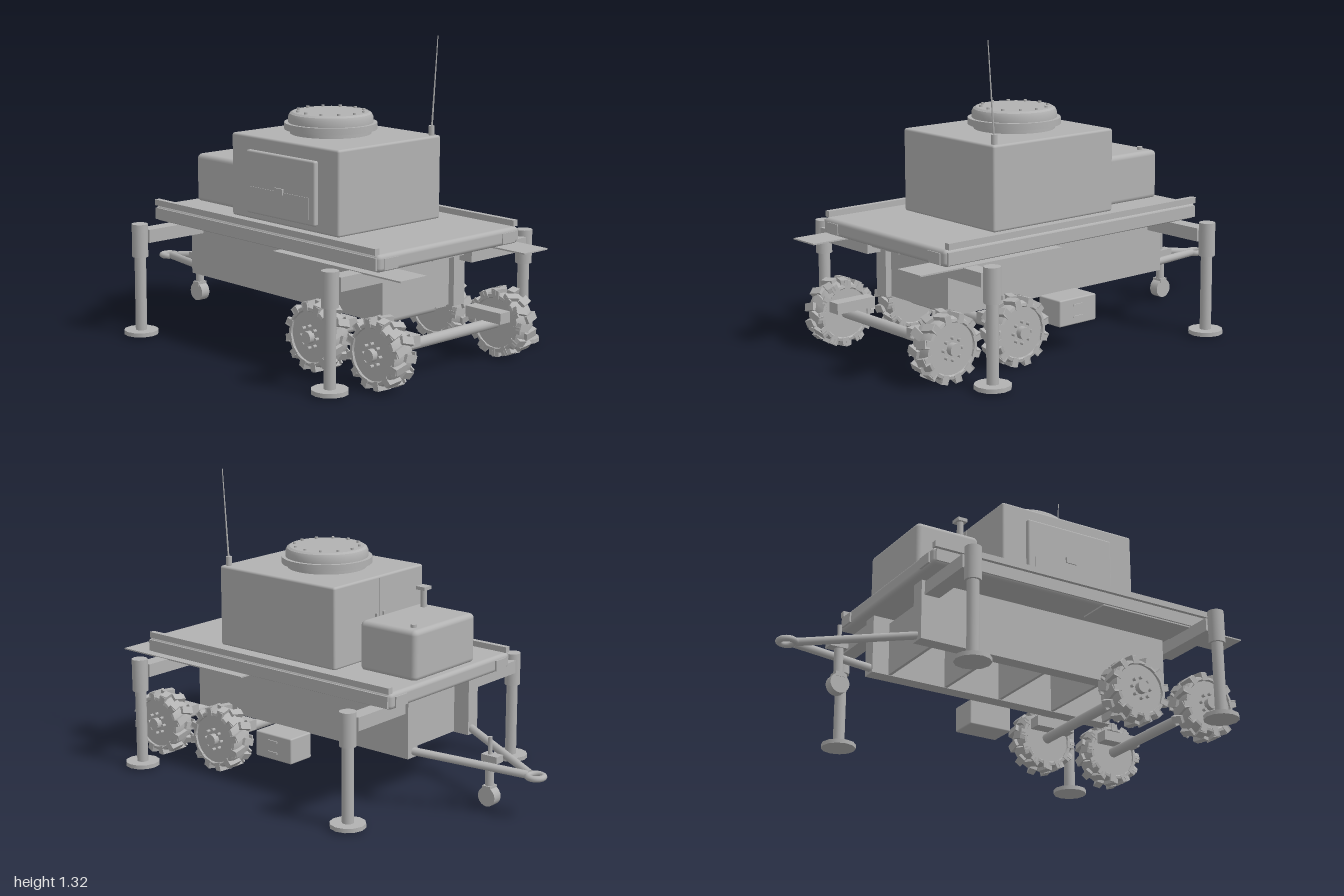
import * as THREE from 'three';
import { RoundedBoxGeometry } from 'three/addons/geometries/RoundedBoxGeometry.js';
import { toCreasedNormals } from 'three/addons/utils/BufferGeometryUtils.js';

const grey = new THREE.MeshStandardMaterial({ color: 0xb2b2b2 });
grey.name = 'plain grey';

export function createModel() {
  const model = new THREE.Group();
  model.name = 'equipmentTrailer';

  const add = (name, geo, x = 0, y = 0, z = 0, parent = model) => {
    const m = new THREE.Mesh(geo, grey);
    m.name = name;
    m.position.set(x, y, z);
    parent.add(m);
    return m;
  };
  // Box given by its min and max on each axis
  const box = (name, x0, x1, y0, y1, z0, z1, r = 0, parent = model) => {
    const s = [x1 - x0, y1 - y0, z1 - z0];
    const geo = r ? new RoundedBoxGeometry(...s, 3, r) : new THREE.BoxGeometry(...s);
    return add(name, geo, (x0 + x1) / 2, (y0 + y1) / 2, (z0 + z1) / 2, parent);
  };
  // Upright cylinder from y0 to y1
  const post = (name, r, y0, y1, x, z, n = 16, parent = model) =>
    add(name, new THREE.CylinderGeometry(r, r, y1 - y0, n), x, (y0 + y1) / 2, z, parent);
  // Cylinder between two points
  const rod = (name, a, b, r, n = 12, r2 = r) => {
    const p = new THREE.Vector3(...a), q = new THREE.Vector3(...b);
    const m = add(name, new THREE.CylinderGeometry(r2, r, p.distanceTo(q), n));
    m.position.copy(p).add(q).multiplyScalar(0.5);
    m.quaternion.setFromUnitVectors(new THREE.Vector3(0, 1, 0), q.sub(p).normalize());
    return m;
  };

  // Deck with edge rails, front and rear lamps
  box('deck', -0.41, 0.41, 0.476, 0.546, -0.525, 0.86, 0.018);
  box('frontPlate', -0.09, 0.09, 0.472, 0.48, 0.83, 0.845);
  for (const s of [-1, 1]) {
    const span = (a, b) => s > 0 ? [a, b] : [-b, -a];
    box('deckRail', ...span(0.39, 0.415), 0.545, 0.571, -0.52, 0.845);
    box('sideTrim', ...span(0.405, 0.416), 0.485, 0.535, -0.515, 0.85);
    box('frontLamp', ...span(0.305, 0.38), 0.485, 0.53, 0.855, 0.864);
    box('rearLamp', ...span(0.305, 0.38), 0.485, 0.53, -0.532, -0.52);
    box('fender', ...span(0.285, 0.43), 0.467, 0.473, 0.275, 0.997);
    box('chassisRail', ...span(0.175, 0.24), 0.22, 0.478, -0.483, 0.715);
    // Drawbar arm
    rod('drawbarArm', [s * 0.205, 0.247, -0.47], [s * 0.008, 0.19, -0.92], 0.017);
  }

  // Cross plates between the chassis rails
  for (let i = 0; i < 5; i++) {
    const z = -0.4 + i * 0.27;
    box('crossPlate', -0.176, 0.176, 0.222, 0.456, z - 0.007, z + 0.007);
  }

  // Tow eye and jockey wheel
  add('towEye', new THREE.TorusGeometry(0.034, 0.013, 10, 24).rotateX(Math.PI / 2), 0, 0.188, -0.953);
  rod('jockeyWheel', [-0.022, 0.053, -0.725], [0.022, 0.053, -0.725], 0.042, 20);
  box('jockeyFork', -0.024, 0.024, 0.08, 0.1, -0.745, -0.705);
  post('jockeyTube', 0.019, 0.09, 0.235, 0, -0.725);
  post('jockeyStem', 0.009, 0.23, 0.31, 0, -0.725);
  box('jockeyClamp', -0.023, 0.023, 0.205, 0.235, -0.775, -0.695);

  // Outrigger legs
  for (const x of [-0.565, 0.565]) for (const z of [-0.435, 0.755]) {
    const leg = new THREE.Group();
    leg.name = 'outrigger';
    model.add(leg);
    const s = Math.sign(x);
    box('outriggerArm', Math.min(s * 0.2, s * 0.54), Math.max(s * 0.2, s * 0.54), 0.413, 0.47, z - 0.034, z + 0.034, 0, leg);
    post('legSleeve', 0.035, 0.352, 0.496, x, z, 16, leg);
    post('legShaft', 0.025, 0.02, 0.36, x, z, 12, leg);
    post('legFoot', 0.075, 0.011, 0.029, x, z, 12, leg);
  }

  // Wheels with slanted lugs, built along x with the outside at +x
  const makeWheel = () => {
    const w = new THREE.Group();
    w.name = 'wheel';
    const pts = [[0, -0.046], [0.105, -0.046], [0.11, -0.052], [0.122, -0.05], [0.129, -0.03],
      [0.129, 0.03], [0.122, 0.05], [0.11, 0.052], [0.105, 0.044], [0, 0.044]].map(p => new THREE.Vector2(...p));
    const tyre = toCreasedNormals(new THREE.LatheGeometry(pts, 32), 0.6);
    add('tyre', tyre.rotateZ(-Math.PI / 2), 0, 0, 0, w);
    for (const s of [-1, 1]) for (let i = 0; i < 12; i++) {
      const pivot = new THREE.Group();
      pivot.rotation.x = (i + (s > 0 ? 0.5 : 0)) * Math.PI / 6;
      w.add(pivot);
      const lug = add('treadLug', new THREE.BoxGeometry(0.056, 0.024, 0.032), s * 0.024, 0.131, 0, pivot);
      lug.rotation.y = s * 0.3;
      add('shoulderLug', new THREE.BoxGeometry(0.008, 0.034, 0.03), s * 0.0495, 0.122, s * -0.008, pivot);
    }
    const disc = (name, r, h, x, y = 0, z = 0, n = 20) =>
      add(name, new THREE.CylinderGeometry(r, r, h, n).rotateZ(-Math.PI / 2), x, y, z, w);
    disc('hub', 0.026, 0.03, 0.055);
    for (let i = 0; i < 8; i++) {
      const a = i * Math.PI / 4;
      disc('wheelBolt', 0.007, 0.022, 0.05, 0.045 * Math.cos(a), 0.045 * Math.sin(a), 8);
    }
    return w;
  };
  for (const z of [0.825, 0.468]) {
    rod('axle', [-0.32, 0.148, z], [0.32, 0.148, z], 0.023, 16);
    for (const s of [-1, 1]) {
      const w = makeWheel();
      w.position.set(s * 0.357, 0.146, z);
      if (s < 0) w.rotation.y = Math.PI;
      model.add(w);
      box('axleBlock', s * 0.264 - 0.03, s * 0.264 + 0.03, 0.17, 0.216, z - 0.095, z + 0.095);
    }
  }

  // Toolbox beside the chassis
  box('toolbox', 0.25, 0.38, 0.117, 0.23, 0.037, 0.24, 0.006);
  for (const y of [0.15, 0.2]) box('toolboxLatch', 0.378, 0.385, y - 0.004, y + 0.004, 0.115, 0.165);

  // Main cabin, side door and rear fittings
  box('cabin', -0.298, 0.295, 0.545, 0.9, -0.135, 0.52, 0.01);
  box('sideDoor', -0.318, -0.29, 0.575, 0.842, -0.02, 0.4, 0.008);
  box('sideDoorPanel', -0.321, -0.316, 0.6, 0.69, 0.01, 0.37);
  box('sideDoorHandle', -0.326, -0.316, 0.68, 0.705, 0.165, 0.215);
  box('rearSeam', -0.002, 0.002, 0.56, 0.89, -0.138, -0.13);
  for (const x of [-0.025, 0.025]) box('rearHandle', x - 0.006, x + 0.006, 0.7, 0.742, -0.145, -0.13);

  // Round roof hatch with a ring of bolts
  const hatch = [[0, 0.895], [0.172, 0.895], [0.172, 0.919], [0.197, 0.919], [0.197, 0.947], [0.18, 0.947],
    [0.18, 0.972], [0.174, 0.985], [0.163, 0.992], [0, 0.992]].map(p => new THREE.Vector2(...p));
  add('roofHatch', toCreasedNormals(new THREE.LatheGeometry(hatch, 40), 0.5), 0, 0, 0.16);
  for (let i = 0; i < 12; i++) {
    const a = i * Math.PI / 6;
    post('hatchBolt', 0.007, 0.99, 1.0, 0.143 * Math.sin(a), 0.16 + 0.143 * Math.cos(a), 8);
  }

  // Whip antenna
  post('antennaBase', 0.013, 0.895, 0.94, 0.266, 0.492, 12);
  rod('antennaWhip', [0.266, 0.935, 0.494], [0.266, 1.32, 0.522], 0.004, 8, 0.002);

  // Generator with exhaust and filler cap
  box('generator', -0.206, 0.206, 0.54, 0.756, -0.49, -0.195, 0.022);
  post('exhaustPipe', 0.014, 0.75, 0.84, -0.15, -0.255, 12);
  box('exhaustCap', -0.174, -0.126, 0.832, 0.847, -0.278, -0.232);
  post('fillerCap', 0.013, 0.75, 0.769, 0.15, -0.437, 14);

  return model;
}
